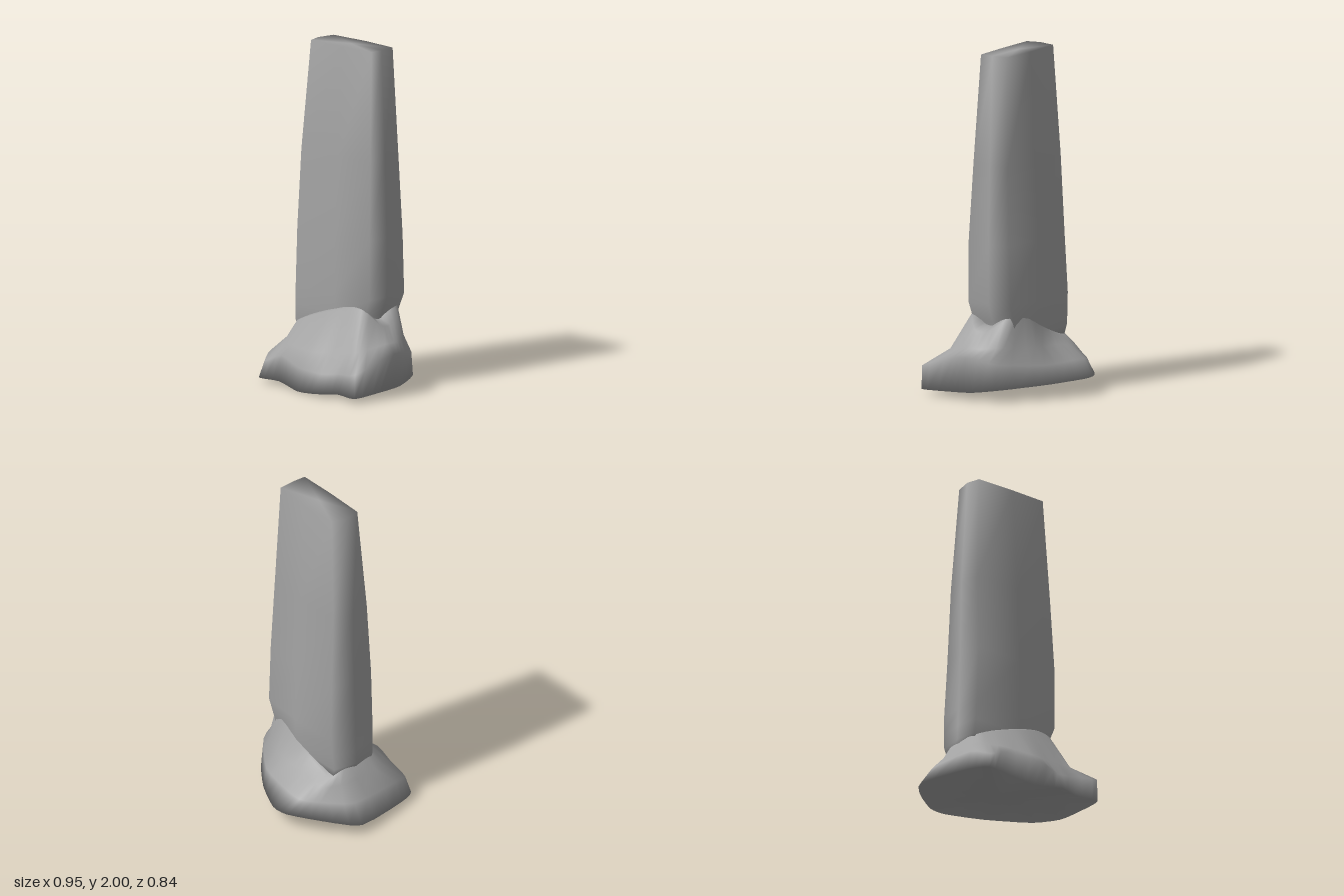
import * as THREE from 'three';

const material = new THREE.MeshStandardMaterial({ color: 0xa3a3a3 });

const V = (p) => new THREE.Vector3(...p);

// Skin closed rings (bottom to top, each running back, left, front, right), cap both ends, smooth throughout
function loft(rings, bottom, top) {
  const n = rings[0].length;
  const last = (rings.length - 1) * n, low = rings.length * n;
  const index = [];
  for (let i = 0; i < n; i++) {
    const j = (i + 1) % n;
    for (let r = 0; r < last; r += n) {
      index.push(r + i, r + i + n, r + j, r + j, r + i + n, r + j + n);
    }
    index.push(low, i, j, low + 1, last + j, last + i);
  }
  const geometry = new THREE.BufferGeometry().setFromPoints([...rings.flat(), V(bottom), V(top)]);
  geometry.setIndex(index);
  geometry.computeVertexNormals();
  return geometry;
}

// Tapering slab: each row is y, right x, left x, back z, front z
function slabGeometry() {
  const rows = [
    [0.27, -0.27, 0.26, -0.15, 0.13],
    [0.35, -0.295, 0.265, -0.16, 0.14],
    [0.44, -0.29, 0.275, -0.17, 0.145],
    [0.55, -0.285, 0.32, -0.175, 0.15],
    [0.9, -0.272, 0.32, -0.16, 0.15],
    [1.36, -0.262, 0.305, -0.138, 0.125],
    [2, -0.22, 0.28, -0.112, 0.087],
  ];
  const rings = rows.map(([y, x0, x1, z0, z1]) => [
    [x0 + 0.025, y, z0 * 0.92], [0.05, y, z0],
    [x1 - 0.005, y, z0 * 0.86], [x1, y, 0], [x1 - 0.005, y, z1 * 0.94],
    [0.05, y, z1], [x0 + 0.02, y, z1 * 0.95], [x0, y, 0],
  ].map(V));
  return loft(rings, [0, 0.27, 0], [0.03, 2, -0.01]);
}

// Irregular mound: outlines from the tilted rim up to the collar, then a crest tucked into the slab
function moundGeometry() {
  const rim = [
    [-0.05, 0.10, -0.42], [0.16, 0.09, -0.32], [0.385, 0.075, -0.15], [0.45, 0.05, 0.03], [0.45, 0.04, 0.2],
    [0.43, 0.03, 0.39], [0.28, 0.03, 0.37], [0.15, 0.02, 0.415], [-0.03, 0.002, 0.38], [-0.2, 0.03, 0.35],
    [-0.35, 0.03, 0.36], [-0.41, 0.04, 0.24], [-0.475, 0.06, -0.11], [-0.33, 0.09, -0.29], [-0.16, 0.1, -0.41],
  ];
  const bulge = [
    [-0.05, 0.2, -0.34], [0.17, 0.2, -0.29], [0.4, 0.22, -0.12], [0.46, 0.25, 0.03], [0.47, 0.25, 0.14],
    [0.43, 0.17, 0.385], [0.28, 0.15, 0.36], [0.15, 0.13, 0.37], [0, 0.15, 0.4], [-0.2, 0.18, 0.33],
    [-0.32, 0.13, 0.34], [-0.38, 0.17, 0.22], [-0.4, 0.17, -0.1], [-0.28, 0.18, -0.26], [-0.19, 0.19, -0.34],
  ];
  const shoulder = [
    [-0.05, 0.28, -0.22], [0.16, 0.29, -0.22], [0.34, 0.31, -0.12], [0.4, 0.3, 0], [0.4, 0.3, 0.1],
    [0.34, 0.27, 0.25], [0.26, 0.26, 0.27], [0.13, 0.24, 0.29], [0, 0.23, 0.31], [-0.17, 0.24, 0.28],
    [-0.27, 0.25, 0.22], [-0.31, 0.26, 0.13], [-0.32, 0.26, -0.08], [-0.26, 0.25, -0.21], [-0.17, 0.26, -0.23],
  ];
  const collar = [
    [-0.05, 0.36, -0.165], [0.14, 0.45, -0.165], [0.28, 0.48, -0.13], [0.345, 0.39, 0], [0.345, 0.4, 0.08],
    [0.28, 0.48, 0.14], [0.2, 0.49, 0.148], [0.11, 0.47, 0.155], [0, 0.44, 0.155], [-0.15, 0.39, 0.152],
    [-0.25, 0.35, 0.145], [-0.28, 0.34, 0.08], [-0.28, 0.33, -0.08], [-0.25, 0.29, -0.16], [-0.15, 0.32, -0.165],
  ];
  const crest = collar.map(([x, y, z]) => [x * 0.8, y + 0.03, z * 0.8]);
  const steps = 45;
  const rings = [rim, bulge, shoulder, collar, crest].map((outline) => {
    const curve = new THREE.CatmullRomCurve3(outline.map(V), true, 'catmullrom', 0.3);
    return Array.from({ length: steps }, (_, i) => curve.getPoint(i / steps));
  });
  return loft(rings, [0, 0.06, 0], [0, 0.4, 0]);
}

export function createModel() {
  const model = new THREE.Group();
  model.name = 'standingStone';
  const parts = { slab: slabGeometry(), mound: moundGeometry() };
  for (const [name, geometry] of Object.entries(parts)) {
    const mesh = new THREE.Mesh(geometry, material);
    mesh.name = name;
    model.add(mesh);
  }
  return model;
}
